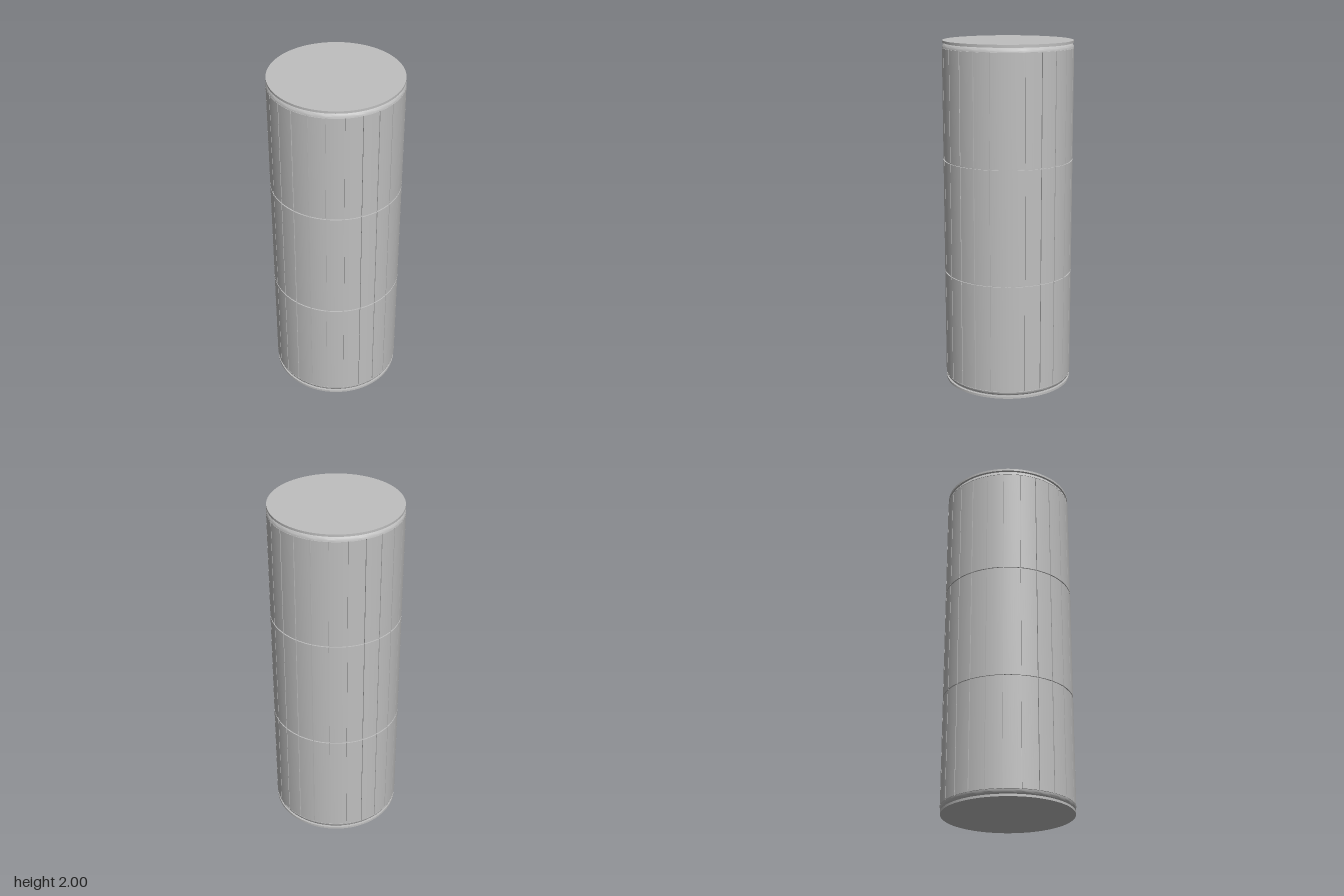
import * as THREE from 'three';
import { toCreasedNormals } from 'three/addons/utils/BufferGeometryUtils.js';

const PANELS = 24;
const STEP = (Math.PI * 2) / PANELS;
const CORE_R = 0.363;
const OUTER_R = 0.37;

// Curved plate: an arc-shaped sector extruded upwards
function panelGeometry(height) {
  const half = STEP / 2 - 0.006;
  const shape = new THREE.Shape();
  shape.absarc(0, 0, OUTER_R, -half, half, false);
  shape.absarc(0, 0, CORE_R - 0.003, half, -half, true);
  const geo = new THREE.ExtrudeGeometry(shape, { depth: height, bevelEnabled: false, curveSegments: 4 });
  geo.rotateX(-Math.PI / 2);
  return toCreasedNormals(geo, 0.5);
}

function lathe(points) {
  const geo = new THREE.LatheGeometry(points.map(([r, y]) => new THREE.Vector2(r, y)), 96);
  return toCreasedNormals(geo, 0.5);
}

export function createModel() {
  const group = new THREE.Group();
  const grey = new THREE.MeshStandardMaterial({ color: 0xbfbfbf });
  grey.name = 'grey';

  const add = (name, geo, parent = group) => {
    const mesh = new THREE.Mesh(geo, grey);
    mesh.name = name;
    parent.add(mesh);
    return mesh;
  };

  // Inner drum with rounded shoulders at both ends
  const shoulder = [[0.37, 0.04], [0.368, 0.03], [0.363, 0.022], [0.355, 0.017]];
  const lower = shoulder.slice().reverse();
  const upper = shoulder.map(([r, y]) => [r, 2 - y]);
  add('drum', lathe([
    [0.355, 0.01], ...lower, [CORE_R, 0.04],
    [CORE_R, 1.96], ...upper, [0.355, 1.99],
  ]));

  // Thin end discs
  for (const [name, y] of [['bottomDisc', 0], ['topDisc', 1.987]]) {
    add(name, lathe([[0, y], [0.368, y], [0.368, y + 0.013], [0, y + 0.013]]));
  }

  // Three rows of curved panels with narrow seams between them
  const rows = [[0.042, 0.666], [0.674, 1.326], [1.334, 1.958]];
  rows.forEach(([y0, y1], i) => {
    const row = new THREE.Group();
    row.name = 'panelRow' + (i + 1);
    group.add(row);
    const geo = panelGeometry(y1 - y0);
    for (let k = 0; k < PANELS; k++) {
      const panel = add('panel', geo, row);
      panel.position.y = y0;
      panel.rotation.y = (k + 0.5) * STEP;
    }
  });

  return group;
}
